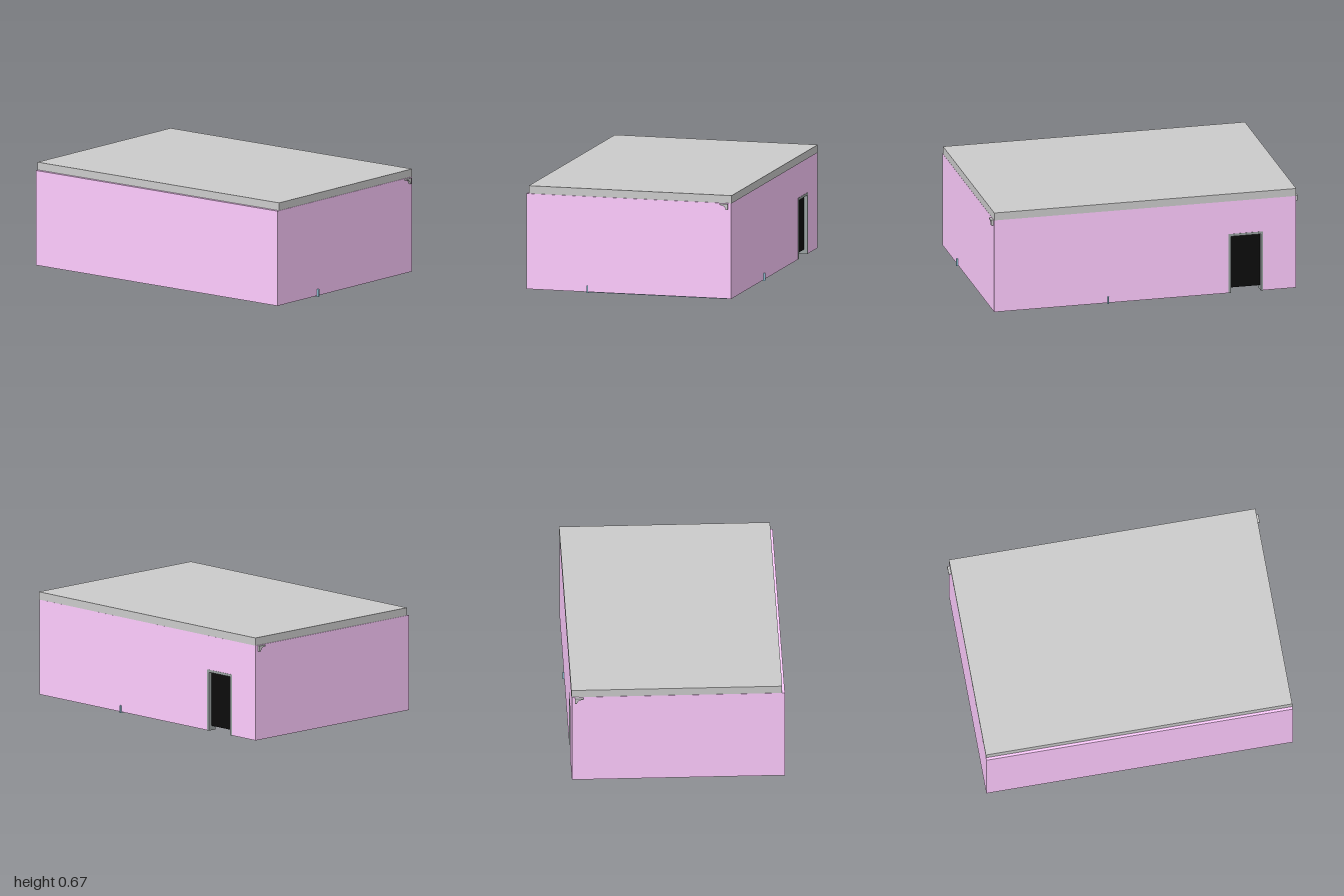
import * as THREE from 'three';

const GREY = 0xcccccc, PINK = 0xffccff, BLUE = 0xa8e4fa, FLOOR = 0x9dadad, BLACK = 0x0c0c0c, FRAME = 0x9aa2a2;
const mats = {};
const mat = (color) => (mats[color] ??= new THREE.MeshStandardMaterial({ color }));

export function createModel() {
  const model = new THREE.Group();
  const add = (name, geometry, color) => {
    const mesh = new THREE.Mesh(geometry, mat(color));
    mesh.name = name;
    model.add(mesh);
    return mesh;
  };
  // Box given by its minimum and maximum on each axis
  const box = (name, [x0, x1], [y0, y1], [z0, z1], color) => {
    const mesh = add(name, new THREE.BoxGeometry(x1 - x0, y1 - y0, z1 - z0), color);
    mesh.position.set((x0 + x1) / 2, (y0 + y1) / 2, (z0 + z1) / 2);
    return mesh;
  };

  const X = 0.985, BACK = -0.67, FRONT = 0.68, T = 0.055, L = 0.004;
  const wallY = [0.006, 0.619];
  const door = { x0: -0.77, x1: -0.545, top: 0.4 };
  const inX = X - T, inBack = BACK + T, inFront = FRONT - T;

  // Roof slab
  box('roof', [-X, X], [0.62, 0.67], [BACK - 0.003, 0.663], GREY);

  // Front and side walls with pale inner linings
  box('frontWall', [-X, X], wallY, [inFront, FRONT], PINK);
  box('frontLining', [-inX, inX], wallY, [inFront - L, inFront], GREY);
  for (const s of [-1, 1]) {
    const span = (a, b) => [Math.min(s * a, s * b), Math.max(s * a, s * b)];
    box('sideWall', span(inX, X), wallY, [inBack, inFront], PINK);
    box('sideLining', span(inX - L, inX), wallY, [inBack, inFront], GREY);
  }

  // Back wall, notched by the doorway down to its foot
  const backPanel = (name, halfWidth, z, depth, color) => {
    const [y0, y1] = wallY;
    const shape = new THREE.Shape([
      [-halfWidth, y0], [door.x0, y0], [door.x0, door.top], [door.x1, door.top],
      [door.x1, y0], [halfWidth, y0], [halfWidth, y1], [-halfWidth, y1],
    ].map(([x, y]) => new THREE.Vector2(x, y)));
    const mesh = add(name, new THREE.ExtrudeGeometry(shape, { depth, bevelEnabled: false }), color);
    mesh.position.z = z;
  };
  backPanel('backWall', X, BACK, T, PINK);
  backPanel('backLining', inX, inBack, L, GREY);

  // Door frame and dark door leaf, open below floor level
  const w = 0.016, frameZ = [BACK - 0.002, inBack];
  box('doorJamb', [door.x0, door.x0 + w], [0.006, door.top], frameZ, FRAME);
  box('doorJamb', [door.x1 - w, door.x1], [0.006, door.top], frameZ, FRAME);
  box('doorHead', [door.x0 + w, door.x1 - w], [door.top - w, door.top], frameZ, FRAME);
  box('doorLeaf', [door.x0 + w, door.x1 - w], [0.035, door.top - w], [BACK + 0.02, BACK + 0.03], BLACK);

  // Raised floor
  box('floor', [-inX, inX], [0.035, 0.04], [inBack, inFront], FLOOR);

  // Inner partition with a doorway
  const px = [-0.385, -0.33];
  const partition = (y, z) => {
    box('partition', px, y, z, PINK);
    box('partitionLining', [px[0] - L, px[0]], y, z, GREY);
    box('partitionLining', [px[1], px[1] + L], y, z, GREY);
  };
  partition(wallY, [inBack, 0.23]);
  partition(wallY, [0.44, inFront]);
  partition([door.top, wallY[1]], [0.23, 0.44]);

  // Blue base sheet in one corner with low curbs that pass through the walls
  box('baseSheet', [0.237, 0.965], [0, 0.005], [-0.65, 0.28], BLUE);
  box('curb', [0.237, 0.245], [0, 0.048], [-0.68, 0.28], BLUE);
  box('curb', [0.245, 0.995], [0, 0.048], [0.272, 0.28], BLUE);

  // Cornice along the back, its ends showing outside both side walls
  const profile = new THREE.Shape();
  profile.moveTo(0.597, 0.616);
  profile.lineTo(0.65, 0.616);
  profile.lineTo(0.65, 0.58);
  profile.lineTo(0.638, 0.58);
  profile.quadraticCurveTo(0.634, 0.604, 0.612, 0.606);
  profile.lineTo(0.597, 0.608);
  const cornice = add('cornice', new THREE.ExtrudeGeometry(profile, { depth: 2, bevelEnabled: false, curveSegments: 8 }), GREY);
  cornice.rotation.y = Math.PI / 2;
  cornice.position.x = -1;

  return model;
}
